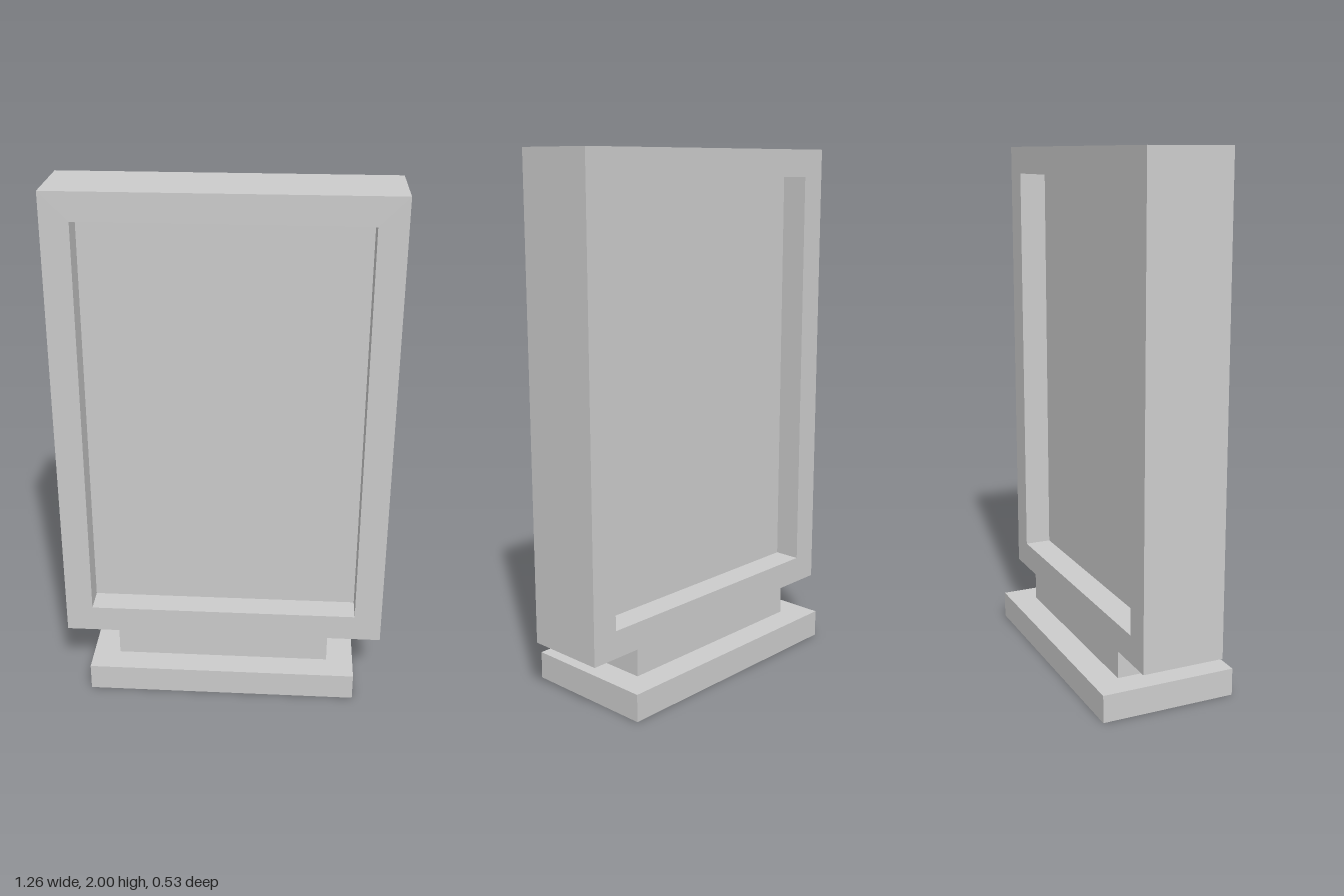
import * as THREE from 'three';

// One module of the sign: the whole is 19 modules high
const U = 2 / 19;

export function createModel() {
  const group = new THREE.Group();
  const material = new THREE.MeshStandardMaterial({ color: 0xcccccc, flatShading: true });

  const add = (name, geometry) => {
    const mesh = new THREE.Mesh(geometry, material);
    mesh.name = name;
    group.add(mesh);
  };

  // Box centred on x and z, given in modules, standing at height y
  const block = (name, w, h, d, y) =>
    add(name, new THREE.BoxGeometry(w * U, h * U, d * U).translate(0, (y + h / 2) * U, 0));

  const rectangle = (target, w, y0, y1) => {
    const x = (w / 2) * U;
    target.moveTo(-x, y0 * U).lineTo(x, y0 * U).lineTo(x, y1 * U).lineTo(-x, y1 * U).closePath();
    return target;
  };

  // Foot and neck
  block('base', 10, 1, 5, 0);
  block('neck', 8, 1, 3, 1);

  // Frame with a rectangular opening
  const outline = rectangle(new THREE.Shape(), 12, 2, 19);
  outline.holes.push(rectangle(new THREE.Path(), 10, 3, 18));
  const frame = new THREE.ExtrudeGeometry(outline, { depth: 3 * U, bevelEnabled: false });
  add('frame', frame.translate(0, 0, -1.5 * U));

  // Display panel, recessed on both faces
  block('displayPanel', 10, 15, 1, 3);

  return group;
}
